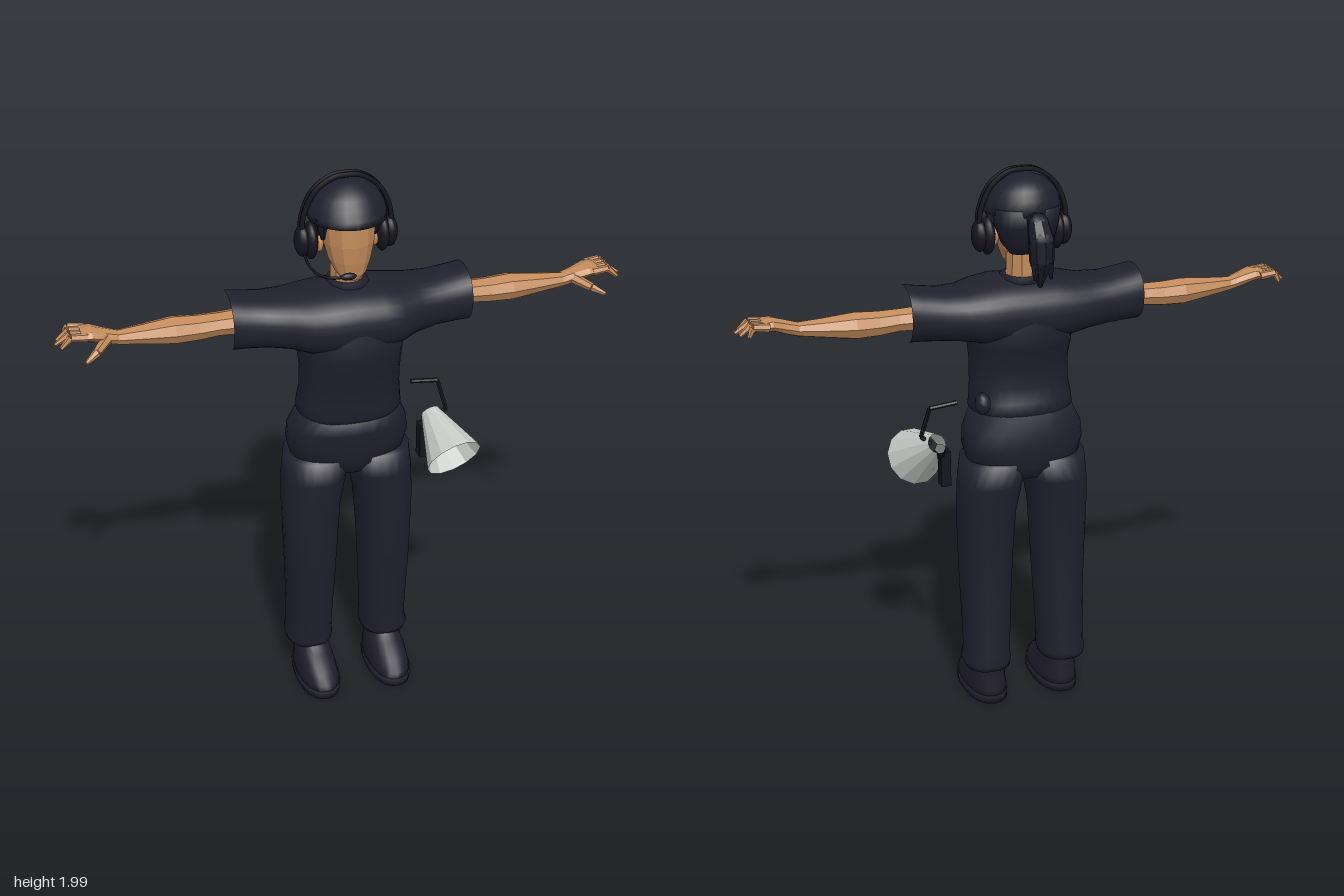
import * as THREE from 'three';

const mat = (name, color, double) => {
  const m = new THREE.MeshStandardMaterial({ color });
  m.name = name;
  if (double) m.side = THREE.DoubleSide;
  return m;
};

// Loft of rounded rings. axis 'y' rows: [y, x0, x1, z0, z1]; axis 'x' rows: [x, y0, y1, z0, z1]. Rows ascend.
function loft(axis, rows, { sides = 24, power = 2.3, caps = true, flat = false } = {}) {
  const pos = [], idx = [];
  const soft = v => Math.sign(v) * Math.abs(v) ** (2 / power);
  const put = (t, r, c, s) => {
    const u = (r[1] + r[2]) / 2, ru = (r[2] - r[1]) / 2;
    const w = (r[3] + r[4]) / 2, rw = (r[4] - r[3]) / 2;
    if (axis === 'y') pos.push(u + ru * c, t, w + rw * s);
    else pos.push(t, u + ru * s, w + rw * c);
  };
  for (const r of rows)
    for (let j = 0; j < sides; j++) {
      const a = (j / sides) * Math.PI * 2;
      put(r[0], r, soft(Math.cos(a)), soft(Math.sin(a)));
    }
  for (let i = 0; i < rows.length - 1; i++)
    for (let j = 0; j < sides; j++) {
      const a = i * sides + j, b = i * sides + (j + 1) % sides;
      idx.push(a, a + sides, b, b, a + sides, b + sides);
    }
  if (caps) {
    const n = rows.length * sides, last = n - sides;
    put(rows[0][0], rows[0], 0, 0);
    put(rows.at(-1)[0], rows.at(-1), 0, 0);
    for (let j = 0; j < sides; j++) {
      const k = (j + 1) % sides;
      idx.push(n, j, k, n + 1, last + k, last + j);
    }
  }
  let g = new THREE.BufferGeometry();
  g.setAttribute('position', new THREE.Float32BufferAttribute(pos, 3));
  g.setIndex(idx);
  if (flat) g = g.toNonIndexed();
  g.computeVertexNormals();
  return g;
}

// Tapered rod between two points
function rod(a, b, r1, r2, sides = 6, open = false) {
  const p = new THREE.Vector3(...a), q = new THREE.Vector3(...b), d = q.clone().sub(p);
  let g = new THREE.CylinderGeometry(r2, r1, d.length(), sides, 1, open);
  g.applyQuaternion(new THREE.Quaternion().setFromUnitVectors(new THREE.Vector3(0, 1, 0), d.normalize()));
  g.translate(...p.add(q).multiplyScalar(0.5).toArray());
  g = g.toNonIndexed();
  g.computeVertexNormals();
  return g;
}

export function createModel() {
  const cloth = mat('navy cloth', 0x20202e);
  const shoe = mat('dark shoe', 0x1f1e2b);
  const hair = mat('dark hair', 0x1b1b27);
  const black = mat('black plastic', 0x15151d);
  const skin = mat('skin', 0xc28a5a);
  const grey = mat('pale grey', 0xc6cac6, true);

  const model = new THREE.Group();
  model.name = 'crewMember';
  const add = (name, geo, m, parent = model) => {
    const mesh = new THREE.Mesh(geo, m);
    mesh.name = name;
    parent.add(mesh);
    return mesh;
  };
  const group = name => {
    const g = new THREE.Group();
    g.name = name;
    model.add(g);
    return g;
  };

  // Shirt: sleeve-to-sleeve yoke, open at the cuffs, over a lower body
  const half = [[0, 1.37, 1.605, -0.135, 0.195], [0.09, 1.37, 1.605, -0.135, 0.2], [0.16, 1.38, 1.595, -0.13, 0.185],
    [0.22, 1.395, 1.585, -0.12, 0.15], [0.3, 1.405, 1.585, -0.105, 0.125], [0.38, 1.41, 1.597, -0.1, 0.12],
    [0.42, 1.41, 1.605, -0.095, 0.118]];
  const yoke = [...half.slice(1).reverse().map(([x, ...r]) => [-x, ...r]), ...half];
  add('shirtYoke', loft('x', yoke, { caps: false, sides: 32 }), cloth);
  add('shirtBody', loft('y', [[1.115, -0.175, 0.175, -0.105, 0.15], [1.135, -0.187, 0.187, -0.118, 0.162],
    [1.17, -0.183, 0.183, -0.11, 0.162], [1.22, -0.177, 0.177, -0.092, 0.165], [1.3, -0.175, 0.175, -0.1, 0.185],
    [1.37, -0.182, 0.182, -0.132, 0.203], [1.41, -0.183, 0.183, -0.139, 0.206], [1.47, -0.17, 0.17, -0.133, 0.195]],
  { caps: false, sides: 32 }), cloth);
  add('collar', loft('y', [[1.58, -0.085, 0.085, -0.07, 0.115], [1.612, -0.066, 0.066, -0.06, 0.08]]), cloth);
  add('beltPack', new THREE.SphereGeometry(0.04, 10, 8).scale(0.7, 1, 0.9).translate(0.172, 1.18, -0.08), cloth);

  // Trousers and shoes
  add('trouserSeat', loft('y', [[0.88, -0.1, 0.1, -0.09, 0.09], [0.93, -0.2, 0.2, -0.125, 0.122], [1, -0.22, 0.22, -0.132, 0.135],
    [1.06, -0.215, 0.215, -0.13, 0.142], [1.13, -0.183, 0.183, -0.11, 0.148]]), cloth);
  const leg = [[0.14, 0.062, 0.228, -0.112, 0.08], [0.16, 0.058, 0.234, -0.116, 0.09], [0.2, 0.06, 0.226, -0.112, 0.085],
    [0.3, 0.056, 0.227, -0.106, 0.095], [0.45, 0.048, 0.232, -0.1, 0.11], [0.6, 0.04, 0.236, -0.103, 0.118],
    [0.75, 0.03, 0.24, -0.112, 0.124], [0.86, 0.008, 0.236, -0.124, 0.126], [0.95, -0.02, 0.226, -0.13, 0.128]];
  const upper = [[0.02, 0.062, 0.213, -0.098, 0.222], [0.05, 0.064, 0.211, -0.097, 0.217], [0.085, 0.07, 0.207, -0.093, 0.18],
    [0.12, 0.077, 0.2, -0.09, 0.115], [0.15, 0.083, 0.196, -0.09, 0.07], [0.19, 0.085, 0.195, -0.088, 0.055]];
  const sole = [[0, 0.06, 0.215, -0.1, 0.224], [0.03, 0.058, 0.217, -0.102, 0.227]];

  // Arm, palm, fingers and thumb
  const arm = [[0.33, 1.445, 1.535, -0.06, 0.052], [0.45, 1.45, 1.53, -0.052, 0.046], [0.52, 1.442, 1.53, -0.055, 0.046],
    [0.6, 1.44, 1.535, -0.06, 0.05], [0.7, 1.455, 1.525, -0.042, 0.042], [0.79, 1.468, 1.518, -0.025, 0.035],
    [0.83, 1.48, 1.53, -0.03, 0.042], [0.88, 1.5, 1.545, -0.045, 0.056], [0.915, 1.505, 1.54, -0.048, 0.052]];
  const fingers = [[-0.04, 0.965, -0.05], [-0.013, 0.99, -0.02], [0.014, 1, 0.014], [0.04, 0.985, 0.048]];

  for (const [side, s] of [['left', 1], ['right', -1]]) {
    const legG = group(side + 'Leg'), armG = group(side + 'Arm');
    legG.scale.x = armG.scale.x = s;
    add('trouserLeg', loft('y', leg), cloth, legG);
    add('shoeUpper', loft('y', upper), shoe, legG);
    add('shoeSole', loft('y', sole), shoe, legG);
    add('forearmAndPalm', loft('x', arm, { sides: 8, power: 2, flat: true }), skin, armG);
    for (const [z, tip, tz] of fingers) {
      const mid = [0.95, 1.53, z * 0.6 + tz * 0.4];
      add('fingerBase', rod([0.895, 1.523, z], mid, 0.015, 0.013), skin, armG);
      add('fingerTip', rod(mid, [tip, 1.498, tz], 0.013, 0.007), skin, armG);
    }
    add('thumbBase', rod([0.83, 1.5, 0.025], [0.875, 1.485, 0.085], 0.02, 0.015), skin, armG);
    add('thumbTip', rod([0.875, 1.485, 0.085], [0.915, 1.468, 0.115], 0.015, 0.007), skin, armG);
  }

  // Neck and face
  add('neck', loft('y', [[1.57, -0.065, 0.065, -0.062, 0.07], [1.61, -0.057, 0.057, -0.057, 0.065],
    [1.72, -0.055, 0.055, -0.055, 0.06]], { sides: 10, power: 2, flat: true }), skin);
  add('face', loft('y', [[1.635, -0.032, 0.032, 0.035, 0.1], [1.655, -0.052, 0.052, 0.0, 0.11], [1.7, -0.073, 0.073, -0.04, 0.117],
    [1.76, -0.088, 0.088, -0.07, 0.122], [1.85, -0.095, 0.095, -0.08, 0.118]], { sides: 12, power: 2, flat: true }), skin);
  for (const s of [-1, 1])
    add('ear', new THREE.SphereGeometry(0.03, 8, 6).scale(0.5, 1, 0.7).translate(s * 0.096, 1.745, 0.01), skin);

  // Hair under the cap, side locks and ponytail
  add('backHair', loft('y', [[1.7, -0.06, 0.06, -0.085, -0.02], [1.74, -0.093, 0.093, -0.11, -0.005], [1.8, -0.112, 0.112, -0.125, 0.03],
    [1.86, -0.12, 0.12, -0.128, 0.04]]), hair);
  for (const s of [-1, 1])
    add('sideLock', rod([s * 0.09, 1.77, 0.035], [s * 0.098, 1.86, 0.055], 0.008, 0.03), hair);
  const tail = [[-0.115, 1.83, 0.025], [-0.165, 1.825, 0.038], [-0.195, 1.775, 0.045], [-0.198, 1.71, 0.042], [-0.185, 1.62, 0.01]];
  for (let i = 0; i < tail.length - 1; i++) {
    const [z1, y1, r1] = tail[i], [z2, y2, r2] = tail[i + 1];
    add('ponytail', rod([0, y1, z1], [0, y2, z2], r1, r2, 9), hair);
    add('ponytailJoint', new THREE.SphereGeometry(r2, 9, 6).translate(0, y2, z2), hair);
  }
  for (const s of [-1, 1])
    add('ponytailLock', rod([s * 0.02, 1.73, -0.2], [s * 0.03, 1.645, -0.213], 0.025, 0.004), hair);

  // Cap
  add('cap', loft('y', [[1.838, -0.134, 0.134, -0.13, 0.152], [1.86, -0.134, 0.134, -0.132, 0.142], [1.89, -0.126, 0.126, -0.126, 0.126],
    [1.92, -0.108, 0.108, -0.11, 0.105], [1.945, -0.078, 0.078, -0.08, 0.078], [1.96, -0.04, 0.04, -0.04, 0.04],
    [1.963, -0.01, 0.01, -0.01, 0.01]], { power: 2 }), cloth);

  // Headset
  const headset = group('headset');
  const V = (x, y, z) => new THREE.Vector3(x, y, z);
  const band = new THREE.CatmullRomCurve3([V(-0.155, 1.77, 0), V(-0.152, 1.84, 0), V(-0.115, 1.925, 0), V(-0.05, 1.972, 0), V(0, 1.978, 0),
    V(0.05, 1.972, 0), V(0.115, 1.925, 0), V(0.152, 1.84, 0), V(0.155, 1.77, 0)]);
  for (const z of [-0.011, 0.011])
    add('headband', new THREE.TubeGeometry(band, 40, 0.009, 6).translate(0, 0, z), black, headset);
  for (const s of [-1, 1]) {
    add('earCushion', new THREE.SphereGeometry(1, 16, 12).scale(0.026, 0.066, 0.048).translate(s * 0.125, 1.755, 0), black, headset);
    add('earCup', new THREE.SphereGeometry(1, 16, 12).scale(0.028, 0.056, 0.04).translate(s * 0.152, 1.757, 0), black, headset);
  }
  const boom = new THREE.CatmullRomCurve3([V(-0.15, 1.72, 0.01), V(-0.15, 1.7, 0.06), V(-0.135, 1.692, 0.14), V(-0.1, 1.692, 0.178), V(-0.05, 1.692, 0.182)]);
  add('micBoom', new THREE.TubeGeometry(boom, 24, 0.005, 6), black, headset);
  add('microphone', new THREE.SphereGeometry(1, 12, 8).scale(0.028, 0.013, 0.012).translate(-0.045, 1.692, 0.182), black, headset);

  // Megaphone hanging from a bent strap at the left hip
  const horn = group('megaphone');
  add('horn', rod([0.318, 1.025, -0.01], [0.355, 0.918, 0.158], 0.034, 0.104, 12, true), grey, horn);
  add('hornGrip', new THREE.BoxGeometry(0.035, 0.13, 0.045).translate(0.288, 0.925, 0.005), black, horn);
  add('hornBack', rod([0.312, 1.01, -0.025], [0.3, 0.97, 0.01], 0.02, 0.02), black, horn);
  const strap = [[0.24, 1.165, 0], [0.34, 1.155, 0], [0.368, 1.045, 0.02], [0.335, 1.02, 0.01]];
  for (let i = 0; i < 3; i++) add('strap', rod(strap[i], strap[i + 1], 0.008, 0.008), black, horn);

  return model;
}
